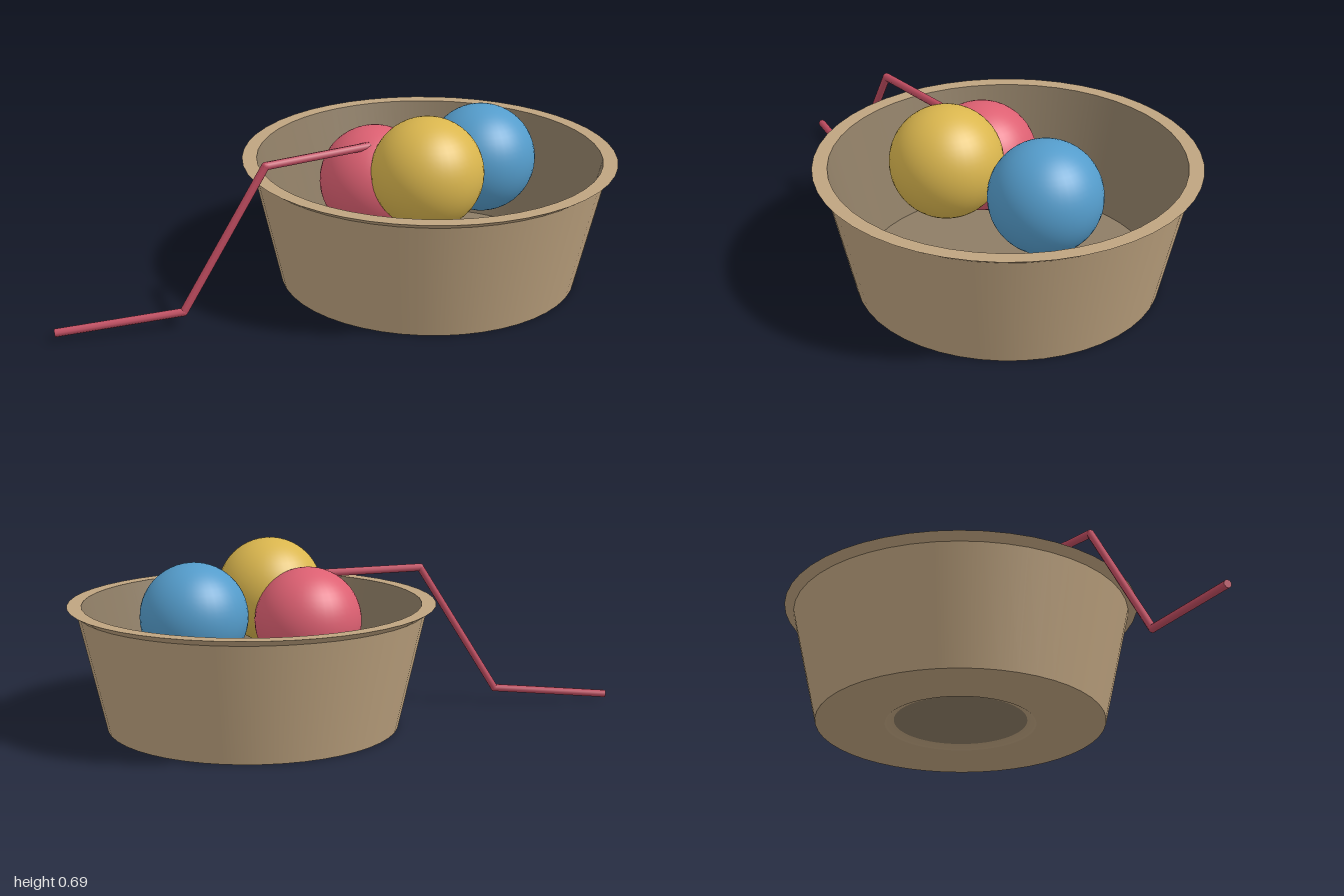
import * as THREE from 'three';

const paint = (name, color) => {
  const m = new THREE.MeshStandardMaterial({ color });
  m.name = name;
  return m;
};

export function createModel() {
  const model = new THREE.Group();
  model.name = 'bowlWithBalls';
  const tan = paint('tan', 0xbfa480);
  const darkTan = paint('dark tan', 0x8e7d65);
  const red = paint('red', 0xdd6072);
  const deepRed = paint('deep red', 0xc04c60);
  const yellow = paint('yellow', 0xdab64e);
  const blue = paint('blue', 0x549ccb);

  const add = (parent, name, geometry, material) => {
    const mesh = new THREE.Mesh(geometry, material);
    mesh.name = name;
    parent.add(mesh);
    return mesh;
  };

  // Bowl: each profile edge is its own lathe so the creases stay sharp
  const bowl = new THREE.Group();
  bowl.name = 'bowl';
  bowl.position.set(0.29, 0, -0.01);
  model.add(bowl);
  const band = (name, material, ...points) => add(bowl, name,
    new THREE.LatheGeometry(points.map(([r, y]) => new THREE.Vector2(r, y)), 48), material);
  band('baseRecess', darkTan, [0, 0.015], [0.26, 0.015]);
  band('recessLip', tan, [0.26, 0.015], [0.275, 0.012], [0.295, 0]);
  band('underside', tan, [0.295, 0], [0.565, 0]);
  band('outerWall', tan, [0.565, 0], [0.668, 0.455]);
  band('rimEdge', tan, [0.668, 0.455], [0.705, 0.48]);
  band('rimTop', tan, [0.705, 0.48], [0.65, 0.48]);
  band('innerWall', darkTan, [0.65, 0.48], [0.54, 0.04]);
  band('floor', darkTan, [0.54, 0.04], [0, 0.04]);

  // Balls
  const ballGeometry = new THREE.SphereGeometry(0.207, 40, 28);
  add(model, 'redBall', ballGeometry, red).position.set(0.09, 0.402, 0.07);
  add(model, 'yellowBall', ballGeometry, yellow).position.set(0.29, 0.488, 0.212);
  add(model, 'blueBall', ballGeometry, blue).position.set(0.485, 0.433, -0.125);

  // Bent rod reaching over the rim into the red ball
  const rod = new THREE.Group();
  rod.name = 'bentRod';
  model.add(rod);
  const radius = 0.015;
  const bends = [[-0.995, 0.03, 0.697], [-0.56, 0.06, 0.555], [-0.275, 0.57, 0.41], [0.075, 0.57, 0.17]]
    .map((p) => new THREE.Vector3(...p));
  const up = new THREE.Vector3(0, 1, 0);
  for (let i = 0; i < bends.length - 1; i++) {
    const along = bends[i + 1].clone().sub(bends[i]);
    const length = along.length();
    const piece = add(rod, 'rodSection', new THREE.CylinderGeometry(radius, radius, length, 8), deepRed);
    piece.position.copy(bends[i]).addScaledVector(along, 0.5);
    piece.quaternion.setFromUnitVectors(up, along.normalize());
    if (i > 0) add(rod, 'rodBend', new THREE.SphereGeometry(radius, 10, 8), deepRed).position.copy(bends[i]);
  }
  return model;
}
